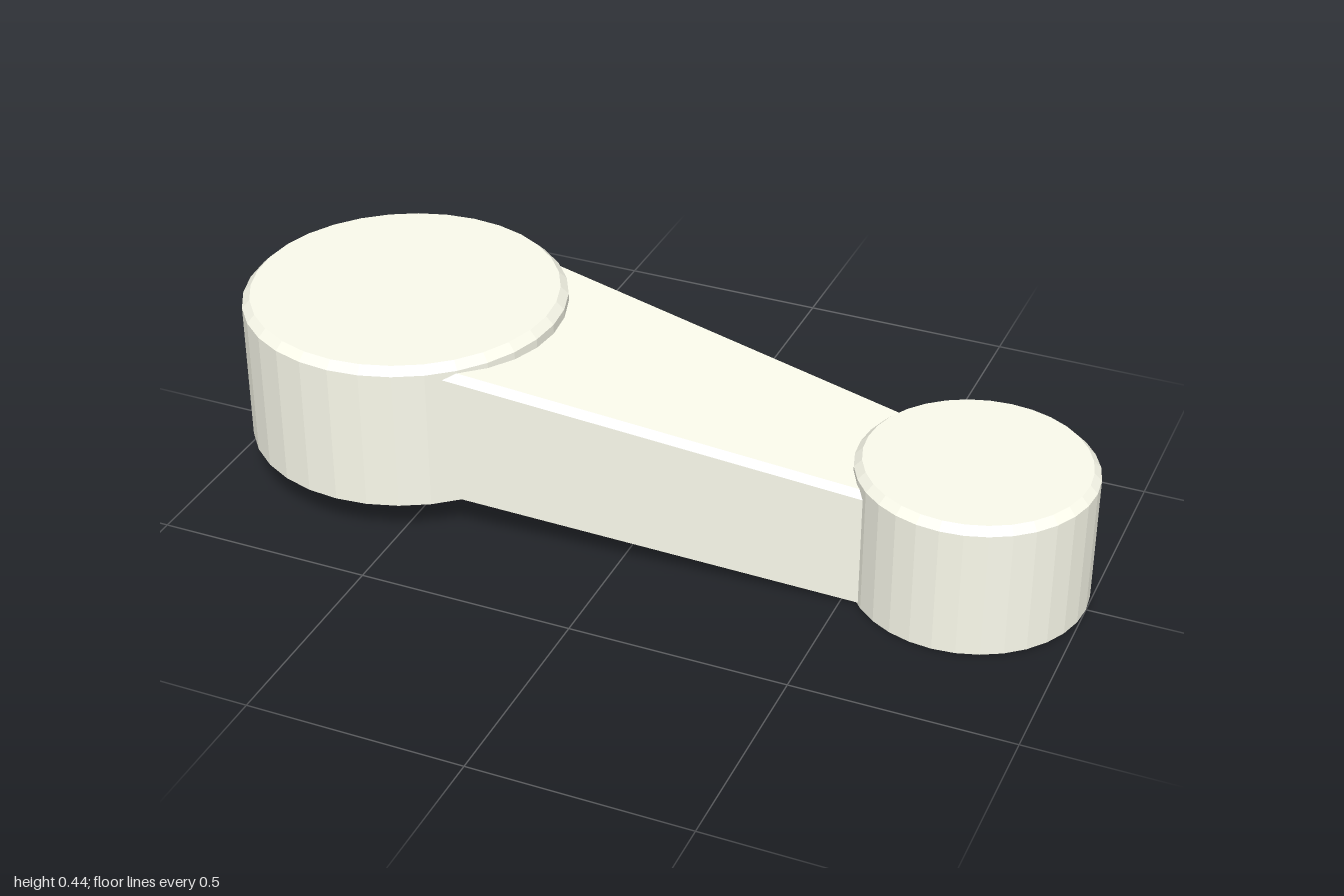
import * as THREE from 'three';

const material = new THREE.MeshStandardMaterial({ color: 0xfbfbec, flatShading: true });

// Upright boss with a chamfered top rim
function boss(name, x, radius, bottom, top, chamfer) {
  const profile = [
    [0, bottom], [radius, bottom], [radius, top - chamfer], [radius - chamfer, top], [0, top],
  ].map(([r, y]) => new THREE.Vector2(r, y));
  const mesh = new THREE.Mesh(new THREE.LatheGeometry(profile, 32), material);
  mesh.name = name;
  mesh.position.x = x;
  return mesh;
}

// Six-cornered arm section: flat bottom, upright sides, bevelled top edges
function section({ x, width, bottom, shoulder, top }) {
  const inner = width - 0.018;
  return [
    [x, bottom, width], [x, shoulder, width], [x, top, inner],
    [x, top, -inner], [x, shoulder, -width], [x, bottom, -width],
  ];
}

// Tapered, sloping arm lofted between two sections
function arm() {
  const a = section({ x: -0.45, width: 0.291, bottom: 0.112, shoulder: 0.415, top: 0.431 });
  const b = section({ x: 0.56, width: 0.172, bottom: 0.002, shoulder: 0.268, top: 0.281 });
  const n = a.length;
  const index = [];
  for (let i = 0; i < n; i++) {
    const j = (i + 1) % n;
    index.push(i, n + i, n + j, i, n + j, j);
  }
  // End caps, buried in the bosses
  for (let i = 1; i < n - 1; i++) index.push(0, i, i + 1, n, n + i + 1, n + i);

  const indexed = new THREE.BufferGeometry();
  indexed.setAttribute('position', new THREE.Float32BufferAttribute([...a, ...b].flat(), 3));
  indexed.setIndex(index);
  const geometry = indexed.toNonIndexed();
  geometry.computeVertexNormals();
  const mesh = new THREE.Mesh(geometry, material);
  mesh.name = 'arm';
  return mesh;
}

export function createModel() {
  const group = new THREE.Group();
  group.name = 'crankLever';
  group.add(
    boss('largeBoss', -0.63, 0.371, 0.09, 0.443, 0.018),
    boss('smallBoss', 0.736, 0.264, 0, 0.318, 0.017),
    arm(),
  );
  return group;
}
